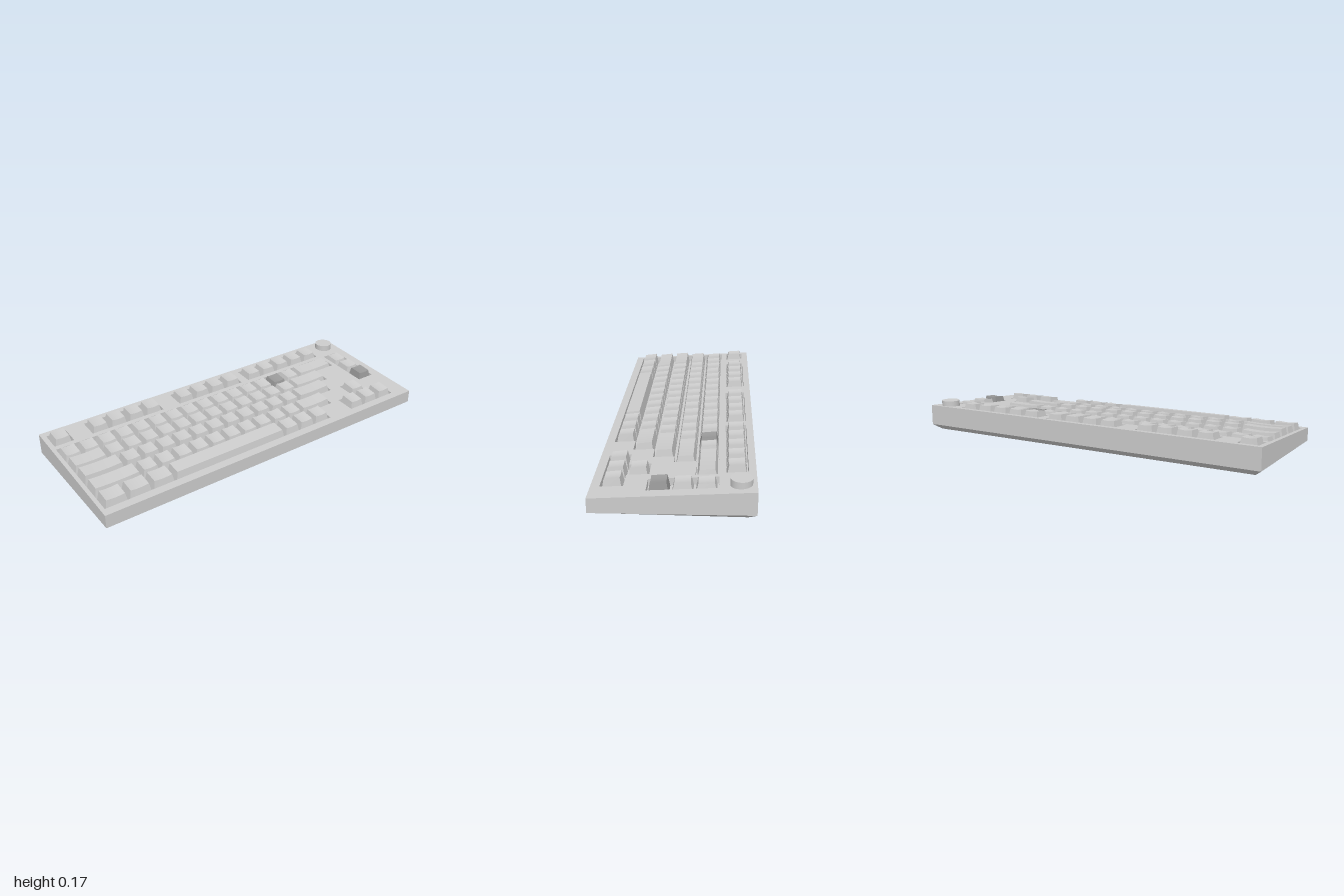
import * as THREE from 'three';

const grey = new THREE.MeshStandardMaterial({ color: 0xcccccc });
const dark = new THREE.MeshStandardMaterial({ color: 0x999999 });
const HZ = 0.373, WELL = 0.036, U = 0.102, LEFT = -0.976;

// Height of the sloping deck at depth z
const deckY = (z) => 0.1175 - z * 0.0684;

function moveVertices(geo, rule) {
  const p = geo.attributes.position, v = new THREE.Vector3();
  for (let i = 0; i < p.count; i++) {
    v.fromBufferAttribute(p, i);
    rule(v);
    p.setXYZ(i, v.x, v.y, v.z);
  }
  geo.computeVertexNormals();
  return geo;
}

function add(parent, name, geo, mat = grey) {
  const m = new THREE.Mesh(geo, mat);
  m.name = name;
  parent.add(m);
  return m;
}

// Lower case: chamfered underside, walls, and the floor of the key wells
function lowerCase() {
  const geo = new THREE.BoxGeometry(2, 2, 2, 1, 2, 1).toNonIndexed();
  return moveVertices(geo, (v) => {
    const level = Math.round(v.y);
    const z = v.z * (level < 0 ? 0.336 : HZ);
    if (level < 0) v.x *= 0.963;
    v.y = level < 0 ? 0 : level === 0 ? 0.025 - z * 0.0134 : deckY(z) - WELL;
    v.z = z;
  });
}

// Deck plate: sloping slab with one opening per key cluster
function deckPlate(wells) {
  const toPoints = (pts) => pts.map(([x, z]) => new THREE.Vector2(x, -z));
  const shape = new THREE.Shape(toPoints([[-1, HZ], [1, HZ], [1, -HZ], [-1, -HZ]]));
  for (const w of wells) shape.holes.push(new THREE.Path(toPoints(w)));
  const geo = new THREE.ExtrudeGeometry(shape, { depth: WELL, bevelEnabled: false });
  geo.rotateX(-Math.PI / 2);
  return moveVertices(geo, (v) => { v.y += deckY(v.z) - WELL; });
}

// Keycap: tapered block with a tilted, slightly dished top
function keycap(x, width, row, dish) {
  const geo = new THREE.BoxGeometry(2, 2, 2, 8, 1, 1);
  return moveVertices(geo, (v) => {
    const top = v.y > 0, s = v.x;
    const z = row.z + v.z * (top ? 0.0365 : 0.0475);
    v.x = x + s * (width / 2 - (top ? 0.012 : 0));
    v.y = top
      ? (v.z > 0 ? row.front : row.back) - dish * (1 - s * s)
      : deckY(z) - WELL + 0.003;
    v.z = z;
  });
}

const rows = [
  { z: -0.285, front: 0.162, back: 0.168 },
  { z: -0.15, front: 0.138, back: 0.146 },
  { z: -0.044, front: 0.138, back: 0.145 },
  { z: 0.063, front: 0.139, back: 0.146 },
  { z: 0.169, front: 0.128, back: 0.138 },
  { z: 0.276, front: 0.125, back: 0.135 },
];
const ones = (n, w = U) => Array(n).fill(w);

// Cell widths of the five main rows, left to right
const mainRows = [
  [...ones(15), 0.253],
  [0.192, ...ones(12), 0.226],
  [0.227, ...ones(11), 0.231],
  [0.262, ...ones(10), 0.205],
  [...ones(3, 0.1285), 0.686, ...ones(3, 0.104)],
];

// Function row clusters: first key centre and number of keys
const functionClusters = [[-0.92, 1], [-0.706, 4], [-0.168, 4], [0.314, 5]];
const FN_PITCH = 0.108;

export function createModel() {
  const model = new THREE.Group();
  model.name = 'keyboard';
  const keys = new THREE.Group();
  keys.name = 'keys';
  model.add(keys);
  const wells = [];
  const rect = (x0, x1, z0, z1) => [[x0, z0], [x1, z0], [x1, z1], [x0, z1]];
  const addKey = (name, x, w, row, mat, dish = 0.004) =>
    add(keys, name, keycap(x, w, row, dish), mat);

  // Function row
  for (const [x0, n] of functionClusters) {
    for (let i = 0; i < n; i++) addKey('functionKey', x0 + i * FN_PITCH, 0.096, rows[0]);
    const x1 = x0 + (n - 1) * FN_PITCH;
    wells.push(rect(x0 - 0.054, x1 + 0.054, rows[0].z - 0.053, rows[0].z + 0.053));
  }

  // Main block, with a well stepping in along its right side
  const outline = [[LEFT - 0.003, 0.33], [LEFT - 0.003, -0.205]];
  mainRows.forEach((cells, r) => {
    const row = rows[r + 1];
    let x = LEFT;
    cells.forEach((w, i) => {
      const space = w > 0.5;
      const accent = r === 0 && i === 13;
      addKey(space ? 'spaceBar' : w > 0.11 ? 'wideKey' : 'key', x + w / 2, w - 0.006,
        row, accent ? dark : grey, space ? 0 : 0.004);
      x += w;
    });
    const z0 = r === 0 ? -0.205 : row.z - 0.053;
    const z1 = r === 4 ? 0.33 : rows[r + 2].z - 0.053;
    outline.push([x + 0.004, z0], [x + 0.004, z1]);
  });
  wells.push(outline);

  // Navigation column
  for (let r = 1; r <= 3; r++) addKey('navigationKey', 0.89, 0.096, rows[r], r === 3 ? dark : grey);
  wells.push(rect(0.836, 0.944, -0.205, 0.117));

  // Arrow keys in an inverted T
  const ax = 0.732, ap = 0.108, h = 0.054;
  addKey('arrowKey', ax, 0.096, rows[4]);
  for (const i of [-1, 0, 1]) addKey('arrowKey', ax + i * ap, 0.096, rows[5]);
  wells.push([
    [ax - h, 0.116], [ax + h, 0.116], [ax + h, 0.223], [ax + ap + h, 0.223],
    [ax + ap + h, 0.33], [ax - ap - h, 0.33], [ax - ap - h, 0.223], [ax - h, 0.223],
  ]);

  // Case
  add(model, 'lowerCase', lowerCase());
  add(model, 'deckPlate', deckPlate(wells));

  // Rotary knob
  const knob = add(model, 'knob', new THREE.CylinderGeometry(0.05, 0.05, 0.04, 48));
  knob.position.set(0.915, 0.15, -0.303);

  return model;
}
